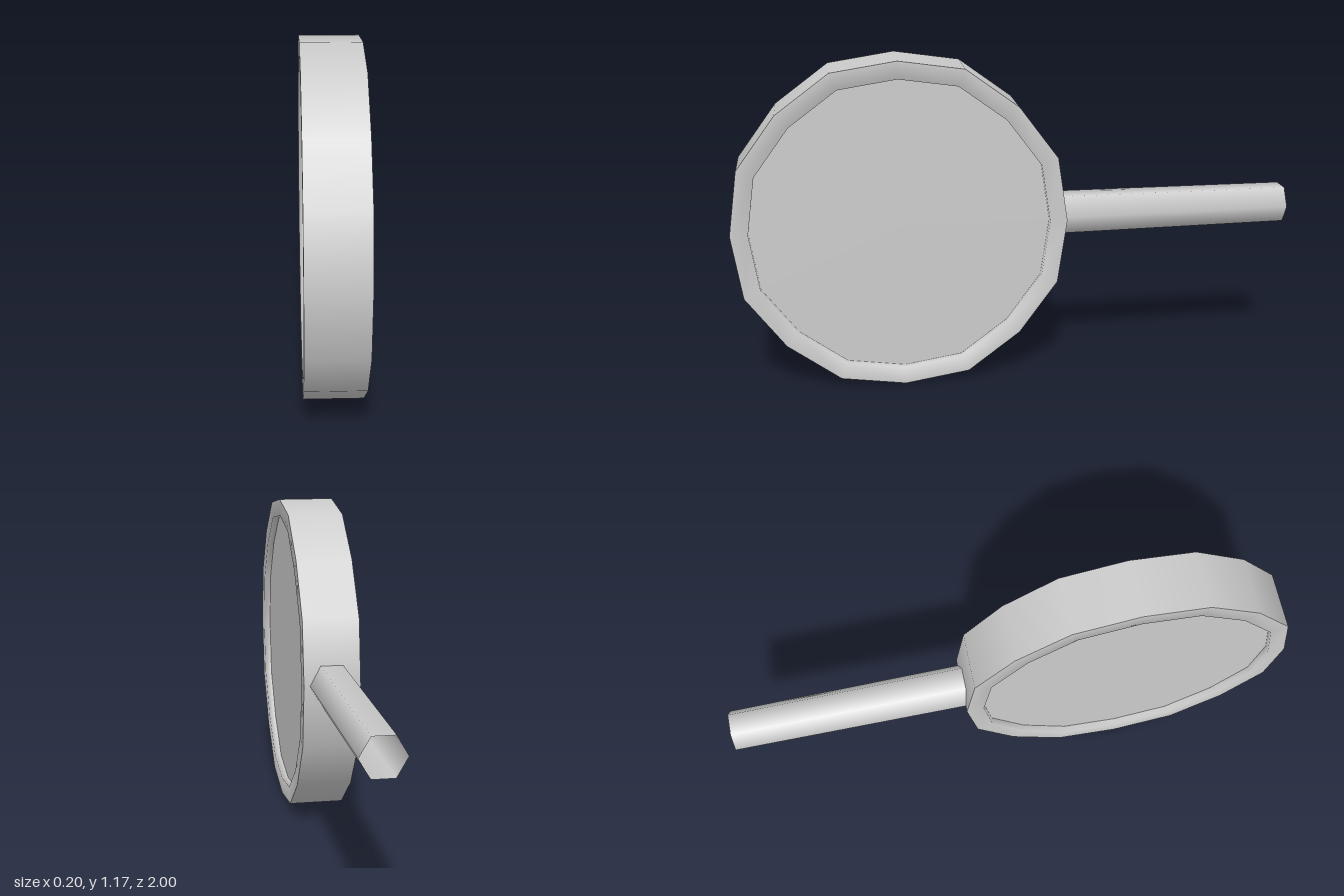
import * as THREE from 'three';

const SIDES = 16;
const CENTER_Y = 0.588, CENTER_Z = 0.413;
const HALF = 0.1, RECESS = 0.075;
const OUTER = 0.587, INNER = 0.525;

// Sixteen-sided turned surface; every second corner sits slightly further out.
function turned(profile) {
  const geometry = new THREE.LatheGeometry(profile.map(([r, y]) => new THREE.Vector2(r, y)), SIDES);
  const pos = geometry.attributes.position;
  for (let i = 0; i < pos.count; i++) {
    const x = pos.getX(i), z = pos.getZ(i);
    const k = 1 + 0.019 * Math.sin(4 * Math.atan2(x, z)) ** 2;
    pos.setX(i, x * k);
    pos.setZ(i, z * k);
  }
  return geometry;
}

export function createModel() {
  const group = new THREE.Group();
  const material = new THREE.MeshStandardMaterial({ color: 0xcccccc, side: THREE.DoubleSide });

  const add = (name, geometry, parent) => {
    const mesh = new THREE.Mesh(geometry, material);
    mesh.name = name;
    parent.add(mesh);
    return mesh;
  };

  // Round head, turned so that its axis runs along x
  const head = new THREE.Group();
  head.name = 'head';
  head.position.set(0, CENTER_Y, CENTER_Z);
  head.rotation.z = -Math.PI / 2;
  group.add(head);

  add('outerBand', turned([[OUTER, -HALF], [OUTER, HALF]]), head);

  // Rim with inner lip, and recessed disc, on both faces
  for (const side of ['left', 'right']) {
    const rim = add(side + 'Rim', turned([[OUTER, HALF], [INNER, HALF], [INNER, RECESS]]), head);
    const disc = add(side + 'Disc', turned([[INNER, RECESS], [0, RECESS]]), head);
    if (side === 'right') rim.rotation.x = disc.rotation.x = Math.PI;
  }

  // Slightly tapered hexagonal handle, open at the end
  const start = -0.155, end = -1;
  const handleGeometry = new THREE.CylinderGeometry(0.079, 0.074, start - end, 6, 1, true);
  handleGeometry.rotateY(Math.PI / 2); // corners to the left and right
  handleGeometry.rotateX(Math.PI / 2);
  const handle = add('handle', handleGeometry, group);
  handle.position.set(0, CENTER_Y + 0.002, (start + end) / 2);

  return group;
}
